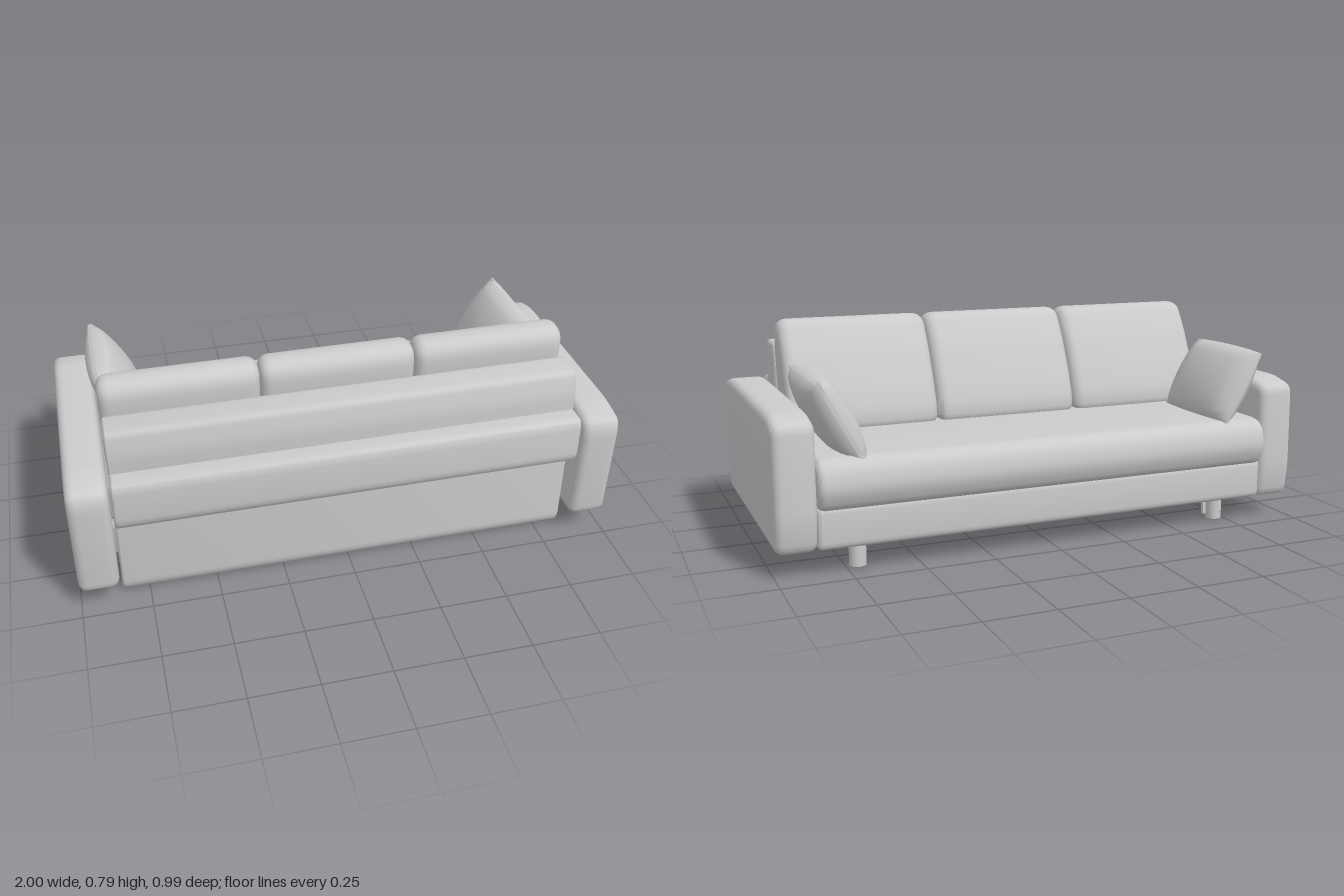
import * as THREE from 'three';
import { toCreasedNormals, mergeVertices } from 'three/addons/utils/BufferGeometryUtils.js';

const material = new THREE.MeshStandardMaterial({ color: 0xcccccc });

// Closed outline whose corners are rounded by radius r
function roundedShape(points, r) {
  const pts = points.map(([z, y]) => new THREE.Vector2(z, y));
  const shape = new THREE.Shape();
  pts.forEach((p, i) => {
    const a = pts[(i + pts.length - 1) % pts.length];
    const b = pts[(i + 1) % pts.length];
    const toward = (q) => p.clone().lerp(q, Math.min(0.45, r / p.distanceTo(q)));
    const s = toward(a), e = toward(b);
    if (i === 0) shape.moveTo(s.x, s.y);
    else shape.lineTo(s.x, s.y);
    shape.quadraticCurveTo(p.x, p.y, e.x, e.y);
  });
  shape.closePath();
  return shape;
}

// Upholstered block: a (z, y) side profile stretched from x0 to x1 with soft ends
function block(name, points, x0, x1, radius, bevel) {
  const width = x1 - x0;
  const geometry = new THREE.ExtrudeGeometry(roundedShape(points, radius), {
    depth: width - 2 * bevel, curveSegments: 4,
    bevelSize: bevel, bevelThickness: bevel, bevelOffset: -bevel, bevelSegments: 4,
  });
  geometry.translate(0, 0, bevel - width / 2);
  geometry.rotateY(-Math.PI / 2);
  geometry.translate((x0 + x1) / 2, 0, 0);
  const mesh = new THREE.Mesh(toCreasedNormals(geometry, 0.9), material);
  mesh.name = name;
  return mesh;
}

// Square pillow, thick in the middle and pinched to its seams
function pillowGeometry(length, height, thickness) {
  const geometry = new THREE.BoxGeometry(2, 2, 2, 1, 12, 12);
  const pos = geometry.attributes.position;
  for (let i = 0; i < pos.count; i++) {
    const v = pos.getY(i), u = pos.getZ(i);
    const puff = Math.pow((1 - u * u) * (1 - v * v), 0.4);
    pos.setXYZ(i,
      Math.sign(pos.getX(i)) * (thickness / 2) * (0.1 + 0.9 * puff),
      v * (height / 2) * (1 - 0.04 * u * u),
      u * (length / 2) * (1 - 0.03 * v * v));
  }
  geometry.deleteAttribute('normal');
  geometry.deleteAttribute('uv');
  return toCreasedNormals(mergeVertices(geometry), 1.0);
}

export function createModel() {
  const sofa = new THREE.Group();
  sofa.name = 'sofa';

  // Base rail and seat, which bulges at the front (-z)
  sofa.add(block('baseRail',
    [[-0.455, 0.09], [0.3, 0.09], [0.3, 0.24], [-0.455, 0.24]], -0.86, 0.86, 0.025, 0.015));
  sofa.add(block('seat',
    [[-0.465, 0.225], [0.28, 0.225], [0.28, 0.4], [-0.44, 0.4], [-0.48, 0.37], [-0.496, 0.3]],
    -0.86, 0.86, 0.03, 0.025));

  // Tall back frame reaching the floor, with a padded roll behind it
  sofa.add(block('backFrame',
    [[0.27, 0], [0.385, 0], [0.408, 0.035], [0.408, 0.6], [0.39, 0.69], [0.265, 0.69],
      [0.248, 0.6], [0.248, 0.035]], -0.848, 0.848, 0.022, 0.015));
  sofa.add(block('backRoll',
    [[0.38, 0.345], [0.465, 0.345], [0.486, 0.38], [0.486, 0.51], [0.475, 0.54], [0.38, 0.54]],
    -0.848, 0.848, 0.02, 0.015));

  // Three leaning back cushions
  for (let i = -1; i <= 1; i++) {
    const x = i * 0.567;
    sofa.add(block('backCushion',
      [[-0.02, 0.385], [0.2, 0.385], [0.25, 0.66], [0.252, 0.75], [0.215, 0.788], [0.14, 0.785],
        [0.07, 0.67], [0.01, 0.54], [-0.022, 0.45]], x - 0.283, x + 0.283, 0.035, 0.04));
  }

  const pillow = pillowGeometry(0.435, 0.32, 0.14);
  const legGeometry = new THREE.CylinderGeometry(0.03, 0.03, 0.1, 16);
  const braceGeometry = new THREE.BoxGeometry(0.03, 0.1, 0.015);

  for (const side of [-1, 1]) {
    const label = side > 0 ? 'left' : 'right';

    // Arm
    const inner = side * 0.856, outer = side;
    sofa.add(block(label + 'Arm',
      [[-0.445, 0.085], [0.48, 0.09], [0.496, 0.48], [0.48, 0.527], [0.37, 0.547], [-0.35, 0.547],
        [-0.455, 0.522], [-0.461, 0.2]],
      Math.min(inner, outer), Math.max(inner, outer), 0.035, 0.03));

    // Throw pillow leaning on the arm
    const cushion = new THREE.Mesh(pillow, material);
    cushion.name = label + 'ThrowPillow';
    cushion.position.set(side * 0.77, 0.515, -0.238);
    cushion.rotation.z = -side * 0.5;
    sofa.add(cushion);

    // Front leg with a thin brace behind it
    const leg = new THREE.Mesh(legGeometry, material);
    leg.name = label + 'Leg';
    leg.position.set(side * 0.71, 0.055, -0.375);
    const brace = new THREE.Mesh(braceGeometry, material);
    brace.name = label + 'LegBrace';
    brace.position.set(side * 0.71, 0.055, -0.32);
    sofa.add(leg, brace);
  }
  return sofa;
}
